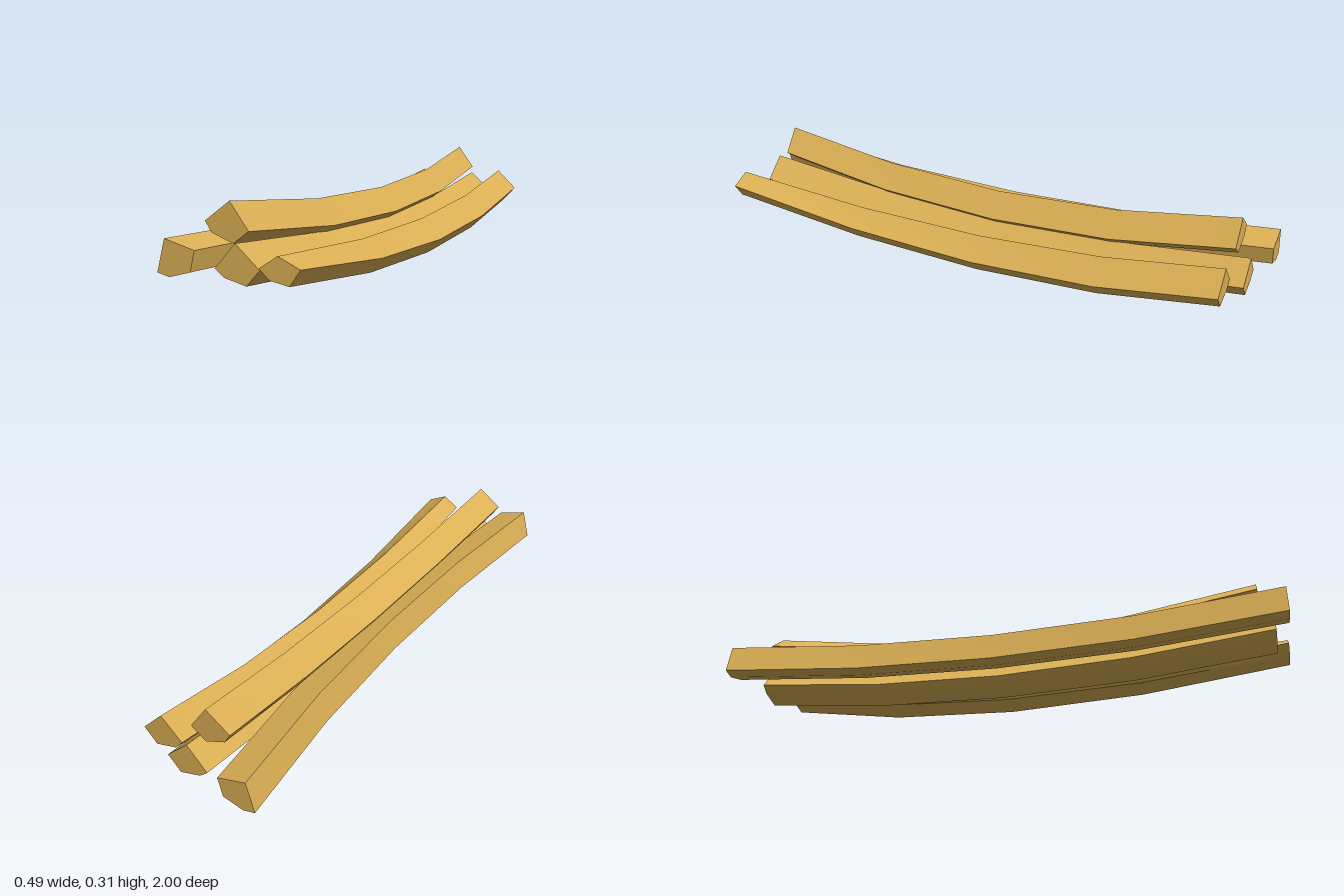
import * as THREE from 'three';
import { toCreasedNormals } from 'three/addons/utils/BufferGeometryUtils.js';

const material = new THREE.MeshStandardMaterial({ color: 0xdcb055 });
const MID_Z = -0.03;
const STEPS = 4;

const shift = (section, dx, dy) => section.map(([x, y]) => [x + dx, y + dy]);

// Curve through front (t=0), middle (t=0.5) and back (t=1)
const bend = (a, m, b, t) =>
  a * (1 - t) * (1 - 2 * t) + m * 4 * t * (1 - t) + b * t * (2 * t - 1);

// A bent stick lofted through three five-sided sections, clockwise from the front
function stick(name, front, mid, back, zFront, zBack) {
  const n = front.length;
  const pos = [];
  const index = [];
  for (let s = 0; s <= STEPS; s++) {
    const t = s / STEPS;
    for (let i = 0; i < n; i++) {
      pos.push(
        bend(front[i][0], mid[i][0], back[i][0], t),
        bend(front[i][1], mid[i][1], back[i][1], t),
        bend(zFront, MID_Z, zBack, t)
      );
    }
  }
  // long sides
  for (let s = 0; s < STEPS; s++) {
    for (let i = 0; i < n; i++) {
      const a = s * n + i;
      const b = s * n + (i + 1) % n;
      index.push(a, b, b + n, a, b + n, a + n);
    }
  }
  // cut ends
  const e = STEPS * n;
  for (let i = 1; i < n - 1; i++) {
    index.push(0, i + 1, i, e, e + i, e + i + 1);
  }
  const geometry = new THREE.BufferGeometry();
  geometry.setAttribute('position', new THREE.Float32BufferAttribute(pos, 3));
  geometry.setIndex(index);
  const mesh = new THREE.Mesh(toCreasedNormals(geometry, 0.65), material);
  mesh.name = name;
  return mesh;
}

export function createModel() {
  const group = new THREE.Group();
  group.name = 'stickPile';

  // Sections run: ridge, right, lower right, lower left, left
  const side = [[-0.22, 0.19], [-0.117, 0.163], [-0.133, 0.098], [-0.205, 0.078], [-0.247, 0.088]];
  const top = [[-0.055, 0.297], [0.008, 0.212], [-0.045, 0.173], [-0.118, 0.2], [-0.14, 0.234]];
  const middle = [[-0.007, 0.185], [0.073, 0.114], [0.028, 0.064], [-0.047, 0.083], [-0.077, 0.107]];

  group.add(
    stick('rightStick', side, shift(side, 0.081, -0.021), side, 0.99, -1),
    stick('topStick', top, shift(top, 0.055, -0.067), shift(top, 0.042, 0.01), 0.9, -0.905),
    stick('middleStick', middle, shift(middle, 0.03, -0.057), shift(middle, 0.037, 0.005), 0.95, -0.955),
    // this one is thicker toward the back
    stick('leftStick',
      [[0.157, 0.17], [0.228, 0.138], [0.193, 0.088], [0.13, 0.1], [0.097, 0.131]],
      [[0.162, 0.124], [0.234, 0.052], [0.187, 0.001], [0.11, 0.021], [0.095, 0.05]],
      [[0.17, 0.21], [0.245, 0.137], [0.2, 0.087], [0.122, 0.105], [0.095, 0.135]],
      0.995, -0.905)
  );
  return group;
}
